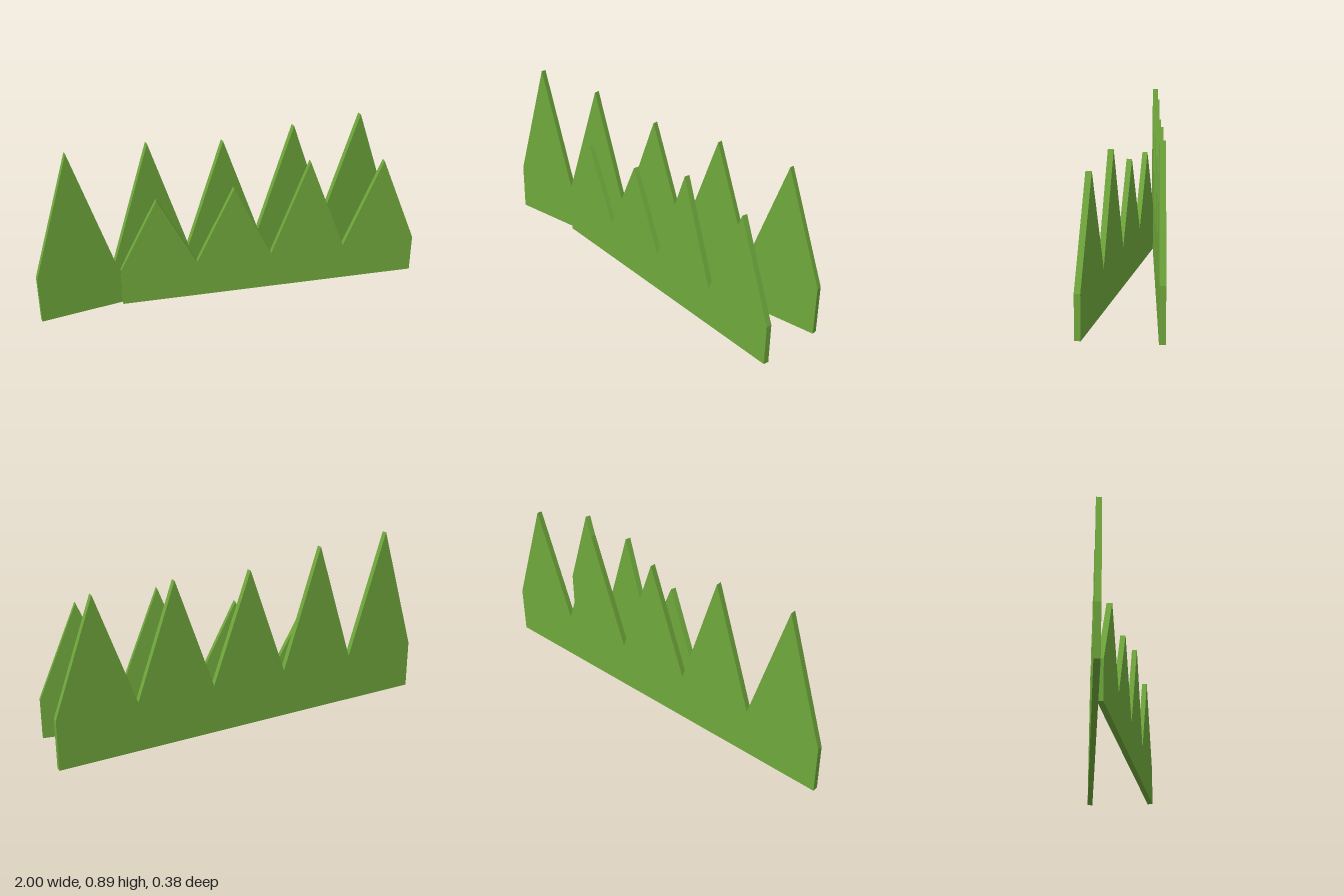
import * as THREE from 'three';

const THICKNESS = 0.028;

// Upright slab with a zigzag top: one triangular blade per peak height
function grassPanel(name, toothWidth, valley, peaks, material) {
  const half = (toothWidth * peaks.length) / 2;
  const shape = new THREE.Shape();
  shape.moveTo(-half, 0);
  shape.lineTo(half, 0);
  shape.lineTo(half, valley);
  for (let i = peaks.length - 1; i >= 0; i--) {
    const left = -half + i * toothWidth;
    shape.lineTo(left + toothWidth / 2, peaks[i]);
    shape.lineTo(left, valley);
  }
  shape.closePath();
  const geometry = new THREE.ExtrudeGeometry(shape, { depth: THICKNESS, bevelEnabled: false });
  geometry.translate(0, 0, -THICKNESS / 2);
  const mesh = new THREE.Mesh(geometry, material);
  mesh.name = name;
  return mesh;
}

export function createModel() {
  const model = new THREE.Group();
  model.name = 'grassTuft';
  const green = new THREE.MeshStandardMaterial({ color: 0x70a83c });
  green.name = 'grass green';

  // Tall rear row of five blades
  const back = grassPanel('backGrass', 0.4, 0.25, [0.892, 0.868, 0.805, 0.816, 0.81], green);
  back.position.z = -0.174;

  // Shorter front row of four blades, its left end swung forward
  const front = grassPanel('frontGrass', 0.393, 0.202, [0.583, 0.607, 0.713, 0.677], green);
  front.position.set(0.1915, 0, 0.011);
  front.rotation.y = -THREE.MathUtils.degToRad(12);

  model.add(back, front);
  return model;
}
